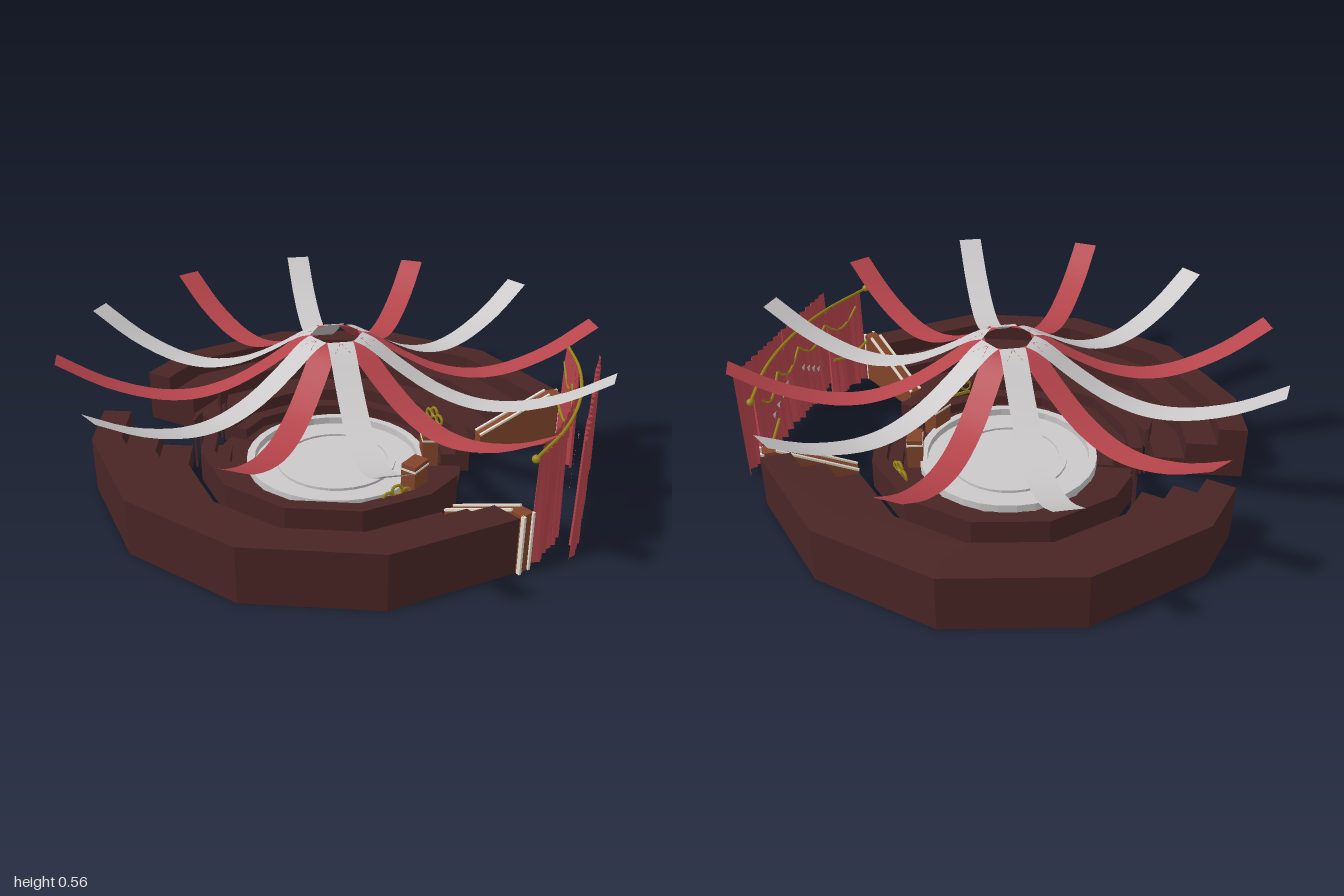
import * as THREE from 'three';

const paint = (name, color) => {
  const m = new THREE.MeshStandardMaterial({ color, side: THREE.DoubleSide });
  m.name = name;
  return m;
};
const rad = THREE.MathUtils.degToRad;

export function createModel() {
  const red = paint('red cloth', 0xb5444b);
  const grey = paint('pale grey', 0xcac8c8);
  const maroon = paint('dark maroon', 0x4a2525);
  const brown = paint('brown wood', 0x82452b);
  const cream = paint('cream trim', 0xe2dccd);
  const gold = paint('gold', 0x9c8618);

  const root = new THREE.Group();
  root.name = 'circusArena';
  // The arena looks along its entrance, turned from the canopy's axes
  const arena = new THREE.Group();
  arena.name = 'arena';
  arena.rotation.y = rad(33);
  root.add(arena);

  const add = (parent, name, geo, mat, x = 0, y = 0, z = 0) => {
    const m = new THREE.Mesh(geo, mat);
    m.name = name;
    m.position.set(x, y, z);
    parent.add(m);
    return m;
  };

  // Sweep a stepped [radius, height] profile round a twelve-sided ring
  const sweep = (profile, angles) => {
    const pos = [];
    const at = ([r, y], a) => {
      const off = Math.abs((((a - 33) % 30) + 30) % 30 - 15);
      const k = Math.cos(rad(15)) / Math.cos(rad(off)); // stay on the flat side
      return [r * k * Math.sin(rad(a)), y, r * k * Math.cos(rad(a))];
    };
    for (let i = 0; i < angles.length - 1; i++) {
      for (let j = 0; j < profile.length - 1; j++) {
        const a = at(profile[j], angles[i]), b = at(profile[j], angles[i + 1]);
        const c = at(profile[j + 1], angles[i + 1]), d = at(profile[j + 1], angles[i]);
        pos.push(...a, ...b, ...c, ...a, ...c, ...d);
      }
    }
    // Close both ends with the profile's outline
    const pts = profile.map((p) => new THREE.Vector2(...p));
    for (const a of [angles[0], angles[angles.length - 1]]) {
      for (const f of THREE.ShapeUtils.triangulateShape(pts, [])) {
        for (const i of f) pos.push(...at(profile[i], a));
      }
    }
    const g = new THREE.BufferGeometry();
    g.setAttribute('position', new THREE.Float32BufferAttribute(pos, 3));
    g.computeVertexNormals();
    return g;
  };

  // Seating, low inner ring and entrance fittings on both sides
  const standProfile = [[0.93, 0], [0.93, 0.21], [0.82, 0.21], [0.82, 0.14], [0.7, 0.14], [0.7, 0.07], [0.58, 0.07], [0.58, 0]];
  const ringProfile = [[0.53, 0], [0.53, 0.12], [0.475, 0.12], [0.475, 0.07], [0.42, 0.07], [0.42, 0.03], [0.35, 0.03], [0.35, 0]];
  for (const s of [1, -1]) {
    const side = s > 0 ? 'left' : 'right';
    add(arena, side + 'SeatingStand', sweep(standProfile, [33, 63, 93, 123, 153, 168].map((a) => a * s)), maroon);
    add(arena, side + 'InnerRing', sweep(ringProfile, [14, 33, 63, 93, 123, 153, 170].map((a) => a * s)), maroon);

    // Sloped end wall of the seating, running out along local x
    const end = new THREE.Group();
    end.name = side + 'EndWall';
    end.rotation.y = rad(33 * s - 90);
    arena.add(end);
    const wall = new THREE.Shape([[0.58, 0], [0.92, 0], [0.92, 0.22], [0.87, 0.22], [0.58, 0.08]].map((p) => new THREE.Vector2(...p)));
    const wallGeo = new THREE.ExtrudeGeometry(wall, { depth: 0.05, bevelEnabled: false });
    add(end, 'endPanel', wallGeo, brown, 0, 0, s > 0 ? 0.003 : -0.053);
    for (const z of [0.006, 0.05]) {
      add(end, 'endTrim', new THREE.BoxGeometry(0.014, 0.22, 0.01), cream, 0.92, 0.11, z * s);
      const rail = add(end, 'slopeTrim', new THREE.BoxGeometry(0.322, 0.008, 0.01), cream, 0.725, 0.153, z * s);
      rail.rotation.z = Math.atan2(0.14, 0.29);
    }

    // Wooden podium beside the ring entrance
    const podium = new THREE.Group();
    podium.name = side + 'Podium';
    podium.rotation.y = rad(20 * s);
    arena.add(podium);
    add(podium, 'podiumBox', new THREE.BoxGeometry(0.09, 0.13, 0.06), brown, 0, 0.085, 0.36);
    add(podium, 'podiumTrim', new THREE.BoxGeometry(0.094, 0.008, 0.064), cream, 0, 0.13, 0.36);

    // Gold scrollwork on the ring
    const scroll = new THREE.Group();
    scroll.name = side + 'Scrollwork';
    scroll.rotation.y = rad(45 * s);
    arena.add(scroll);
    add(scroll, 'scrollBar', new THREE.BoxGeometry(0.1, 0.012, 0.015), gold, 0, 0.085, 0.45);
    for (let i = -1; i <= 1; i++) {
      add(scroll, 'scrollCurl', new THREE.TorusGeometry(0.02, 0.006, 5, 10), gold, i * 0.035, 0.115 + 0.02 * (i === 0), 0.45);
    }

    // Signs on posts at the rear opening
    add(arena, side + 'RearSign', new THREE.BoxGeometry(0.075, 0.06, 0.012), maroon, 0.125 * s, 0.18, -0.52);
    for (const dx of [-0.025, 0.025]) {
      add(arena, side + 'SignPost', new THREE.BoxGeometry(0.008, 0.16, 0.008), maroon, (0.125 + dx) * s, 0.08, -0.52);
    }
  }

  // Performance floor
  add(arena, 'floorBase', new THREE.CylinderGeometry(0.48, 0.48, 0.02, 32), maroon, 0, 0.011, 0);
  const bowl = [[0.345, 0.01], [0.345, 0.06], [0.315, 0.06], [0.315, 0.032], [0.23, 0.032], [0.23, 0.042], [0.2, 0.042], [0.2, 0.034], [0, 0.034]];
  const bowlGeo = new THREE.LatheGeometry(bowl.map((p) => new THREE.Vector2(...p)), 32).toNonIndexed();
  bowlGeo.computeVertexNormals();
  add(arena, 'ringFloor', bowlGeo, grey);

  // Pleated cloth from x0 to x1, hanging on the curve zAt
  const drape = (x0, x1, top, bottomAt, zAt, folds, depth) => {
    const g = new THREE.PlaneGeometry(1, 1, folds * 8, 8);
    const p = g.attributes.position;
    for (let i = 0; i < p.count; i++) {
      const u = p.getX(i) + 0.5, v = 0.5 - p.getY(i), x = x0 + (x1 - x0) * u;
      const wave = Math.sin(u * folds * Math.PI * 2 + 0.8 * Math.sin(u * 17)) + 0.4 * Math.sin(u * folds * 5.1 + v);
      p.setXYZ(i, x, top + (bottomAt(u) - top) * v, zAt(x) + wave * depth * (0.5 + 0.5 * v));
    }
    g.computeVertexNormals();
    return g;
  };
  const rodZ = (x) => 0.89 - 0.4 * x * x;
  const hem = (u) => 0.006 + 0.005 * Math.sin(u * 23);
  const tube = (pts, r) => new THREE.TubeGeometry(new THREE.CatmullRomCurve3(pts.map((p) => new THREE.Vector3(...p))), 24, r, 5);

  const curtain = new THREE.Group();
  curtain.name = 'entranceCurtain';
  arena.add(curtain);
  for (const s of [1, -1]) {
    add(curtain, 'frontCurtain', drape(0.003 * s, 0.37 * s, 0.445, hem, () => 0.933, 9, 0.013), red);
    add(curtain, 'sideCurtain', drape(0.25 * s, 0.45 * s, 0.425, hem, rodZ, 6, 0.012), red);
    add(curtain, 'rodFinial', new THREE.SphereGeometry(0.014, 10, 8), gold, 0.49 * s, 0.43, rodZ(0.49));
    add(curtain, 'tieBack', tube([[0.24, 0.2], [0.35, 0.17], [0.46, 0.2]].map(([x, y]) => [x * s, y, rodZ(x) - 0.022]), 0.006), gold);
    // Bunting flags
    for (let i = 0; i < 4; i++) {
      const flag = new THREE.Shape([new THREE.Vector2(-0.015, 0), new THREE.Vector2(0.015, 0), new THREE.Vector2(0, -0.028)]);
      add(curtain, 'buntingFlag', new THREE.ShapeGeometry(flag), grey, (0.07 + i * 0.04) * s, 0.26 - i * 0.024, 0.895);
    }
  }
  add(curtain, 'curtainRod', tube([-0.49, -0.25, 0, 0.25, 0.49].map((x) => [x, 0.43, rodZ(x)]), 0.006), gold);

  // Swagged valance with gold cord
  for (let i = 0; i < 4; i++) {
    const x0 = -0.4 + i * 0.2, x1 = x0 + 0.2;
    const dip = (u) => 0.385 - 0.06 * Math.sin(u * Math.PI);
    add(curtain, 'valance', drape(x0, x1, 0.43, dip, (x) => rodZ(x) - 0.02, 3, 0.005), red);
    const cord = [0, 0.25, 0.5, 0.75, 1].map((u) => [x0 + 0.2 * u, dip(u), rodZ(x0 + 0.2 * u) - 0.024]);
    add(curtain, 'valanceCord', tube(cord, 0.005), gold);
  }

  // Canopy of twelve sagging ribbons
  const sag = new THREE.CatmullRomCurve3([[0.085, 0.56], [0.13, 0.545], [0.24, 0.475], [0.37, 0.405], [0.48, 0.371], [0.57, 0.363],
    [0.68, 0.378], [0.84, 0.437], [1, 0.535]].map(([r, y]) => new THREE.Vector3(r, y, 0)));
  const pts = sag.getPoints(24);
  const ribbonGeo = new THREE.PlaneGeometry(1, 0.095, 24, 1);
  ribbonGeo.rotateX(-Math.PI / 2);
  const rp = ribbonGeo.attributes.position;
  for (let i = 0; i < rp.count; i++) {
    const q = pts[i % 25];
    rp.setXYZ(i, q.x, q.y, rp.getZ(i));
  }
  ribbonGeo.computeVertexNormals();
  const canopy = new THREE.Group();
  canopy.name = 'canopy';
  root.add(canopy);
  for (let i = 0; i < 12; i++) {
    const pale = i % 2 === 0;
    const r = add(canopy, pale ? 'greyRibbon' : 'redRibbon', ribbonGeo, pale ? grey : red, 0, pale ? 0.003 : 0, 0);
    r.rotation.y = rad(30 * i);
  }
  return root;
}
